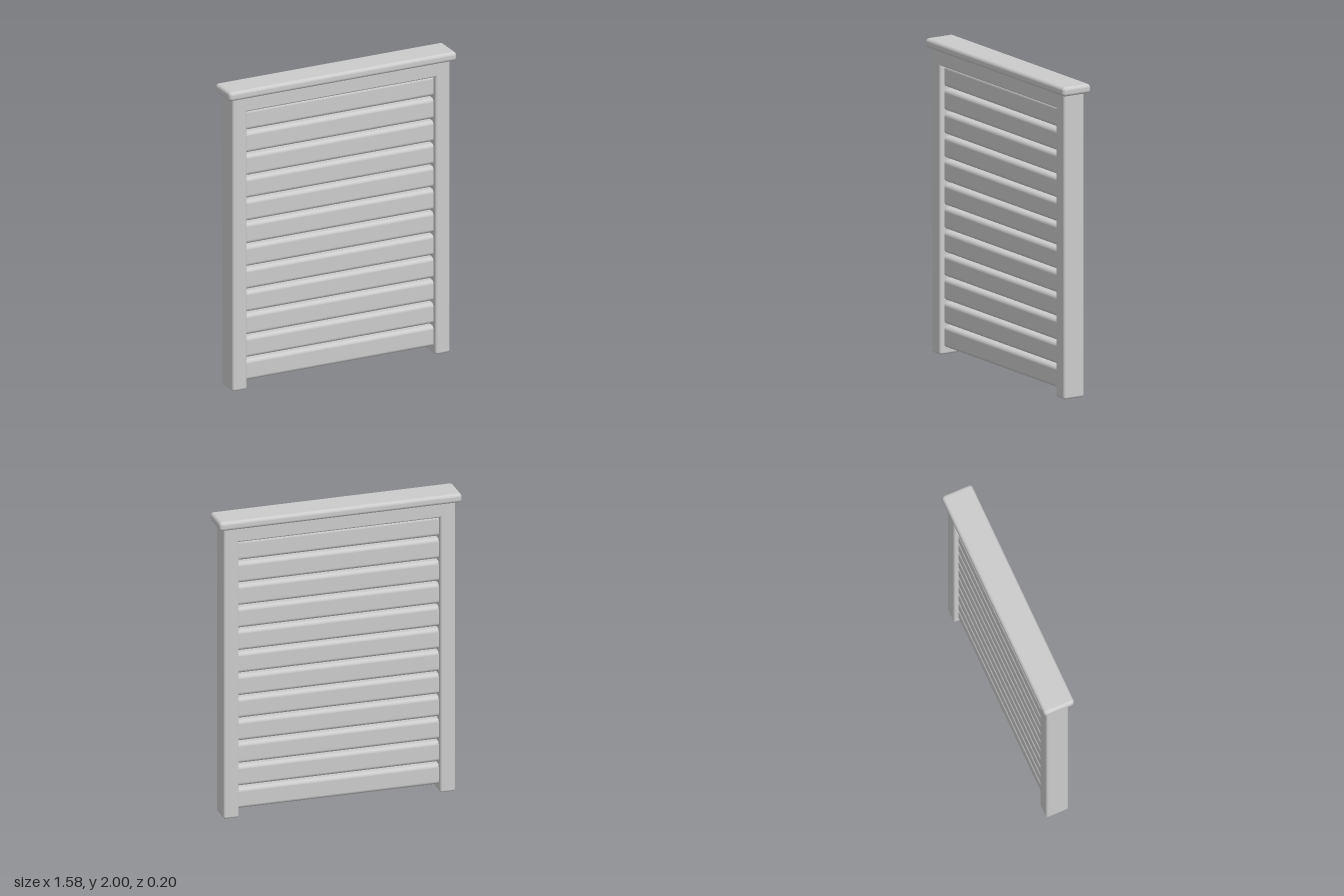
import * as THREE from 'three';
import { RoundedBoxGeometry } from 'three/addons/geometries/RoundedBoxGeometry.js';

export function createModel() {
  const group = new THREE.Group();
  const material = new THREE.MeshStandardMaterial({ color: 0xcccccc });

  // Rounded board given by its extents in x and y and its depth, centred on z = 0
  function board(name, x0, x1, y0, y1, depth, radius) {
    const geometry = new RoundedBoxGeometry(x1 - x0, y1 - y0, depth, 4, radius);
    const mesh = new THREE.Mesh(geometry, material);
    mesh.name = name;
    mesh.position.set((x0 + x1) / 2, (y0 + y1) / 2, 0);
    group.add(mesh);
  }

  // Side posts
  board('leftPost', 0.655, 0.755, 0, 1.96, 0.15, 0.015);
  board('rightPost', -0.755, -0.655, 0, 1.96, 0.15, 0.015);

  // Top rail, flush with the posts and let into them
  board('topRail', -0.71, 0.71, 1.845, 1.96, 0.15, 0.012);

  // Overhanging cap
  board('cap', -0.79, 0.79, 1.94, 2, 0.205, 0.022);

  // Horizontal slats with narrow gaps, recessed between the posts
  const slatCount = 12, pitch = 0.1512, slatHeight = 0.137;
  for (let i = 0; i < slatCount; i++) {
    const y = 0.045 + i * pitch;
    board(`slat${i + 1}`, -0.69, 0.69, y, y + slatHeight, 0.09, 0.025);
  }

  return group;
}
